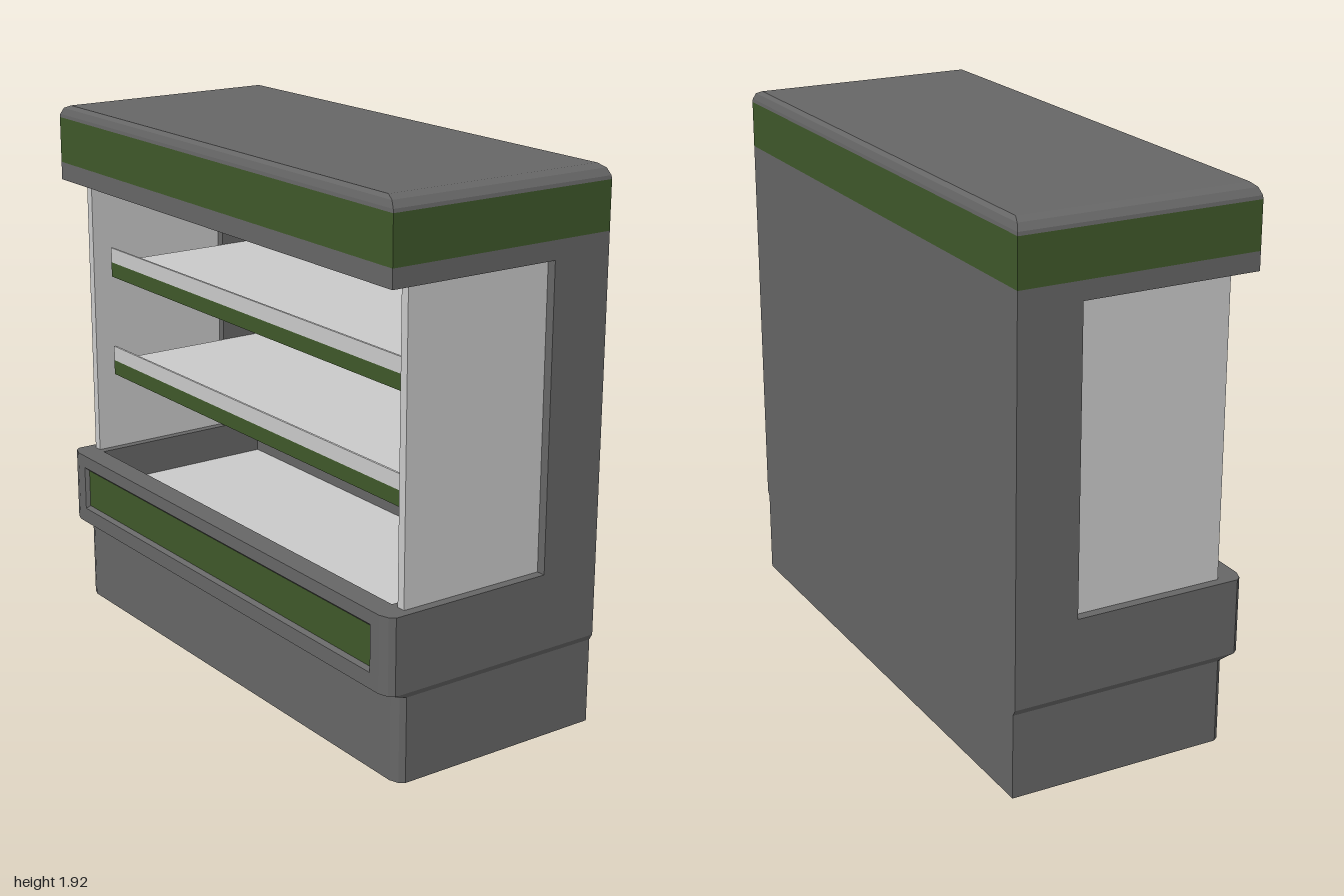
import * as THREE from 'three';

const mat = (name, color) => Object.assign(new THREE.MeshStandardMaterial({ color }), { name });

// Rectangle ring at height y with optionally bevelled front corners, starting along the front edge
function outline(y, hx, zf, zb, rx = 0, rz = 0) {
  const right = [[hx - rx, zf], [hx - rx * 0.3, zf - rz * 0.4], [hx, zf - rz], [hx, zb]];
  const left = right.map(([x, z]) => [-x, z]).reverse();
  return [...left.slice(3), ...right, ...left.slice(0, 3)].map(([x, z]) => [x, y, z]);
}

// Flat-faced skin through a list of rings; skip(ring, side) leaves faces open
function loft(rings, { bottom = false, top = false, skip = () => false } = {}) {
  const p = [];
  const tri = (a, b, c) => {
    const [u, v, w] = [a, b, c].map((q) => new THREE.Vector3(...q));
    if (v.sub(u).cross(w.sub(u)).length() > 1e-9) p.push(...a, ...b, ...c);
  };
  for (let r = 0; r < rings.length - 1; r++) {
    const a = rings[r], b = rings[r + 1], n = a.length;
    for (let i = 0; i < n; i++) {
      if (skip(r, i)) continue;
      const j = (i + 1) % n;
      tri(a[i], a[j], b[j]);
      tri(a[i], b[j], b[i]);
    }
  }
  const first = rings[0], last = rings[rings.length - 1];
  for (let i = 1; i < first.length - 1; i++) {
    if (bottom) tri(first[0], first[i + 1], first[i]);
    if (top) tri(last[0], last[i], last[i + 1]);
  }
  const g = new THREE.BufferGeometry();
  g.setAttribute('position', new THREE.Float32BufferAttribute(p, 3));
  g.computeVertexNormals();
  return g;
}

export function createModel() {
  const model = new THREE.Group();
  model.name = 'refrigeratedDisplayCase';
  const grey = mat('casingGrey', 0x666666);
  const light = mat('linerLightGrey', 0xcacaca);
  const green = mat('trimGreen', 0x3f582a);

  const add = (name, geometry, material) => {
    const m = new THREE.Mesh(geometry, material);
    m.name = name;
    model.add(m);
    return m;
  };
  // Box given by its minimum and maximum on each axis
  const box = (name, material, x0, x1, y0, y1, z0, z1) =>
    add(name, new THREE.BoxGeometry(x1 - x0, y1 - y0, z1 - z0), material)
      .position.set((x0 + x1) / 2, (y0 + y1) / 2, (z0 + z1) / 2);

  const back = -0.43, liner = -0.36, inner = 0.905;

  // Plinth
  add('plinth', loft([
    outline(0, 0.987, 0.375, back, 0.045, 0.03),
    outline(0.3, 0.987, 0.375, back, 0.045, 0.03),
  ], { bottom: true }), grey);

  // Tub: tapered underside, outer walls, rim and basin walls; front face left open for the panel
  add('tub', loft([
    outline(0.3, 0.987, 0.375, back, 0.045, 0.03),
    outline(0.322, 1, 0.43, back, 0.05, 0.03),
    outline(0.59, 1, 0.43, back, 0.05, 0.03),
    outline(0.59, inner, 0.345, liner),
    outline(0.46, inner, 0.345, liner),
  ], { skip: (r, i) => r === 1 && i === 0 }), grey);
  add('basinFloor', loft([outline(0.46, inner, 0.345, liner)], { top: true }), light);

  // Front face with a bevelled recess around a green panel
  const rect = (hx, y0, y1) => [[-hx, y0], [hx, y0], [hx, y1], [-hx, y1]];
  const face = new THREE.Shape(rect(0.95, 0.322, 0.59).map((q) => new THREE.Vector2(...q)));
  face.holes.push(new THREE.Path(rect(0.905, 0.378, 0.543).map((q) => new THREE.Vector2(...q))));
  add('tubFront', new THREE.ShapeGeometry(face).translate(0, 0, 0.43), grey);
  add('panelBevel', loft([
    rect(0.905, 0.378, 0.543).map((q) => [...q, 0.43]),
    rect(0.893, 0.39, 0.531).map((q) => [...q, 0.417]),
  ]), grey);
  add('frontPanel', new THREE.PlaneGeometry(1.786, 0.141).translate(0, 0.4605, 0.417), green);

  // Back wall with light liner
  box('backWall', grey, -inner, inner, 0.59, 1.64, back, liner - 0.005);
  box('backLiner', light, -inner, inner, 0.59, 1.64, liner - 0.005, liner);

  // Rear columns and side panes
  for (const [side, s] of [['left', 1], ['right', -1]]) {
    const span = (a, b) => (s > 0 ? [a, b] : [-b, -a]);
    box(side + 'Column', grey, ...span(inner, 1), 0.59, 1.64, back, -0.205);
    box(side + 'SidePane', light, ...span(0.935, 0.967), 0.59, 1.64, -0.205, 0.345);
  }

  // Shelves with green edge strip and upright lip
  for (const [name, y] of [['lower', 0.89], ['upper', 1.27]]) {
    box(name + 'Shelf', light, -inner, inner, y, y + 0.055, liner, 0.28);
    box(name + 'ShelfStrip', green, -inner, inner, y, y + 0.055, 0.28, 0.287);
    box(name + 'ShelfLip', light, -inner, inner, y + 0.055, y + 0.11, 0.279, 0.287);
  }

  // Canopy: lower band, green band, softened cap
  add('canopyLowerBand', loft([outline(1.64, 1, 0.43, back), outline(1.705, 1, 0.43, back)], { bottom: true }), grey);
  add('canopyGreenBand', loft([outline(1.705, 1, 0.43, back), outline(1.87, 1, 0.43, back)]), green);
  add('canopyCap', loft([
    outline(1.87, 1, 0.43, back),
    outline(1.882, 0.998, 0.429, -0.429),
    outline(1.905, 0.982, 0.422, -0.422),
    outline(1.917, 0.95, 0.41, -0.41),
  ], { top: true }), grey);

  return model;
}
